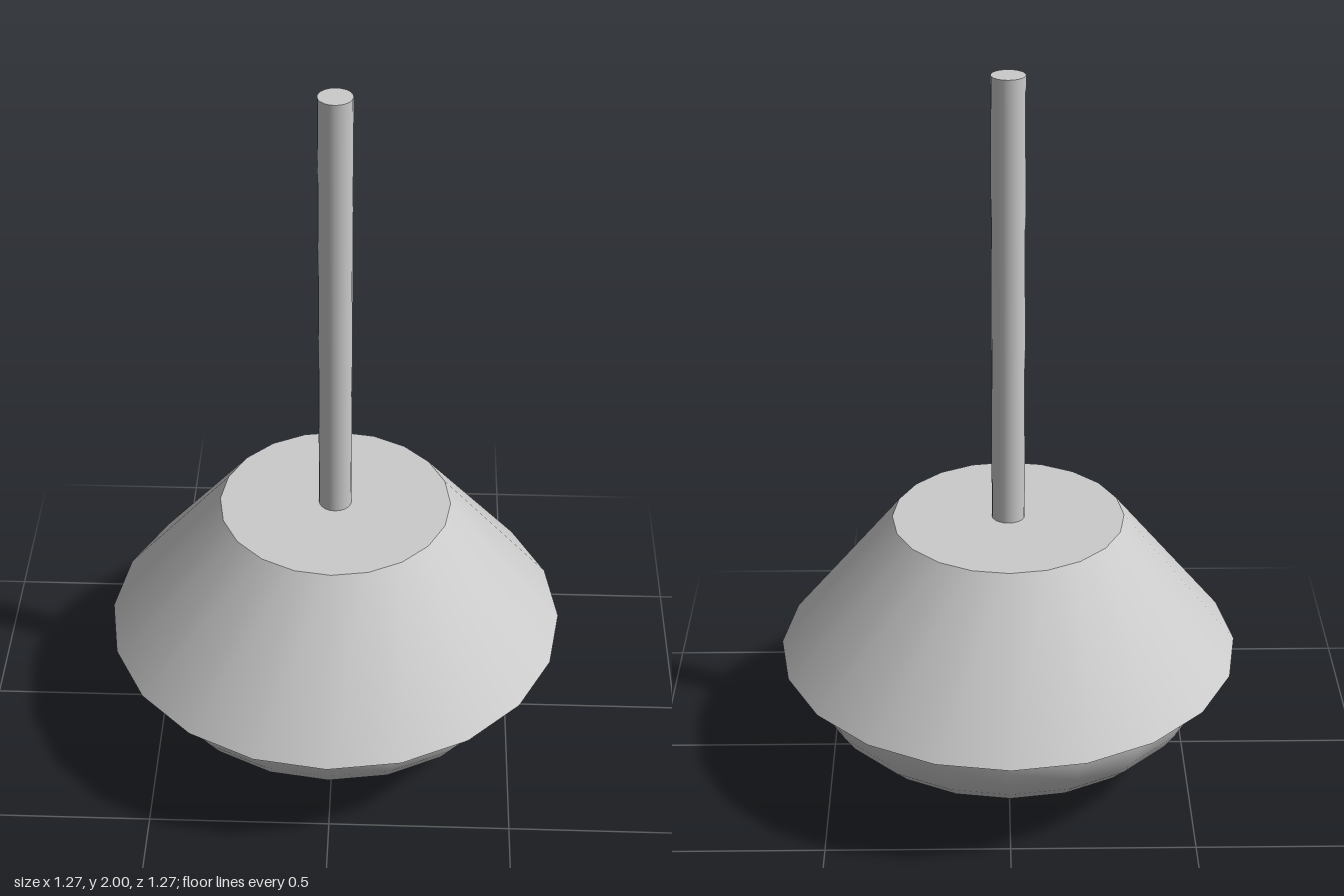
import * as THREE from 'three';

const SIDES = 20;

export function createModel() {
  const group = new THREE.Group();
  const material = new THREE.MeshStandardMaterial({ color: 0xcccccc });

  const add = (name, geometry, y) => {
    const mesh = new THREE.Mesh(geometry, material);
    mesh.name = name;
    mesh.position.y = y;
    group.add(mesh);
    return mesh;
  };

  // Hanging rod
  add('rod', new THREE.CylinderGeometry(0.045, 0.045, 1.25, SIDES), 1.375);

  // Tapered shade, closed at both ends
  add('shade', new THREE.CylinderGeometry(0.318, 0.637, 0.4, SIDES), 0.55);

  // Flattened half-sphere diffuser under the shade
  const bowl = new THREE.SphereGeometry(1, SIDES, 10, 0, Math.PI * 2, Math.PI / 2, Math.PI / 2);
  bowl.scale(0.583, 0.35, 0.583);
  add('diffuserBowl', bowl, 0.35);

  return group;
}
